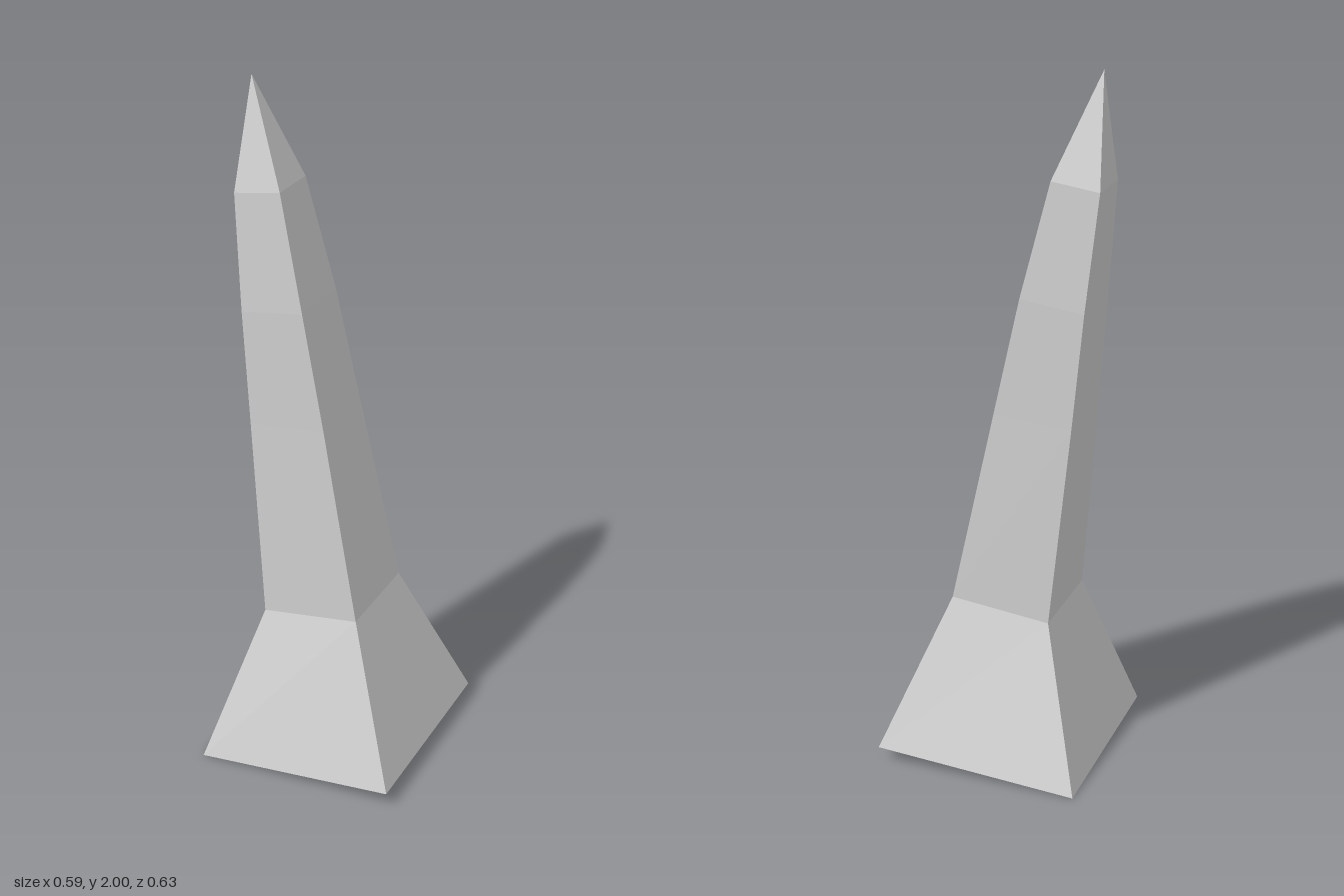
import * as THREE from 'three';

// Cross-sections from bottom to top: left x, left y, right x, right y, half depth
const sections = [
  [-0.297, 0, 0.297, 0.045, 0.314],
  [-0.165, 0.45, 0.125, 0.485, 0.153],
  [-0.217, 1.03, 0.01, 1.05, 0.121],
  [-0.245, 1.36, -0.06, 1.385, 0.107],
  [-0.275, 1.69, -0.137, 1.71, 0.078],
];
const tip = [-0.256, 2, 0];

// Four corners of a section, counter-clockwise seen from above
const ring = ([lx, ly, rx, ry, d]) => [[rx, ry, d], [rx, ry, -d], [lx, ly, -d], [lx, ly, d]];

function buildMesh(name, triangles) {
  const geometry = new THREE.BufferGeometry();
  geometry.setAttribute('position', new THREE.Float32BufferAttribute(triangles.flat(), 3));
  geometry.computeVertexNormals();
  const mesh = new THREE.Mesh(geometry, new THREE.MeshStandardMaterial({ color: 0xcccccc, flatShading: true }));
  mesh.name = name;
  return mesh;
}

// Side walls between consecutive rings
function walls(rings) {
  const tris = [];
  for (let s = 0; s < rings.length - 1; s++) {
    for (let i = 0; i < 4; i++) {
      const j = (i + 1) % 4;
      const [a, b, c, d] = [rings[s][i], rings[s][j], rings[s + 1][j], rings[s + 1][i]];
      tris.push(a, b, c, a, c, d);
    }
  }
  return tris;
}

export function createModel() {
  const group = new THREE.Group();
  group.name = 'leaningSpike';
  const rings = sections.map(ring);

  // Flared foot, closed underneath by a slanted face
  const [p, q, r, s] = rings[0];
  group.add(buildMesh('flaredFoot', [...walls(rings.slice(0, 2)), p, s, r, p, r, q]));

  // Tapering, bending shaft
  group.add(buildMesh('shaft', walls(rings.slice(1))));

  // Pointed tip
  const top = rings[rings.length - 1];
  group.add(buildMesh('tip', top.flatMap((corner, i) => [corner, top[(i + 1) % 4], tip])));
  return group;
}
